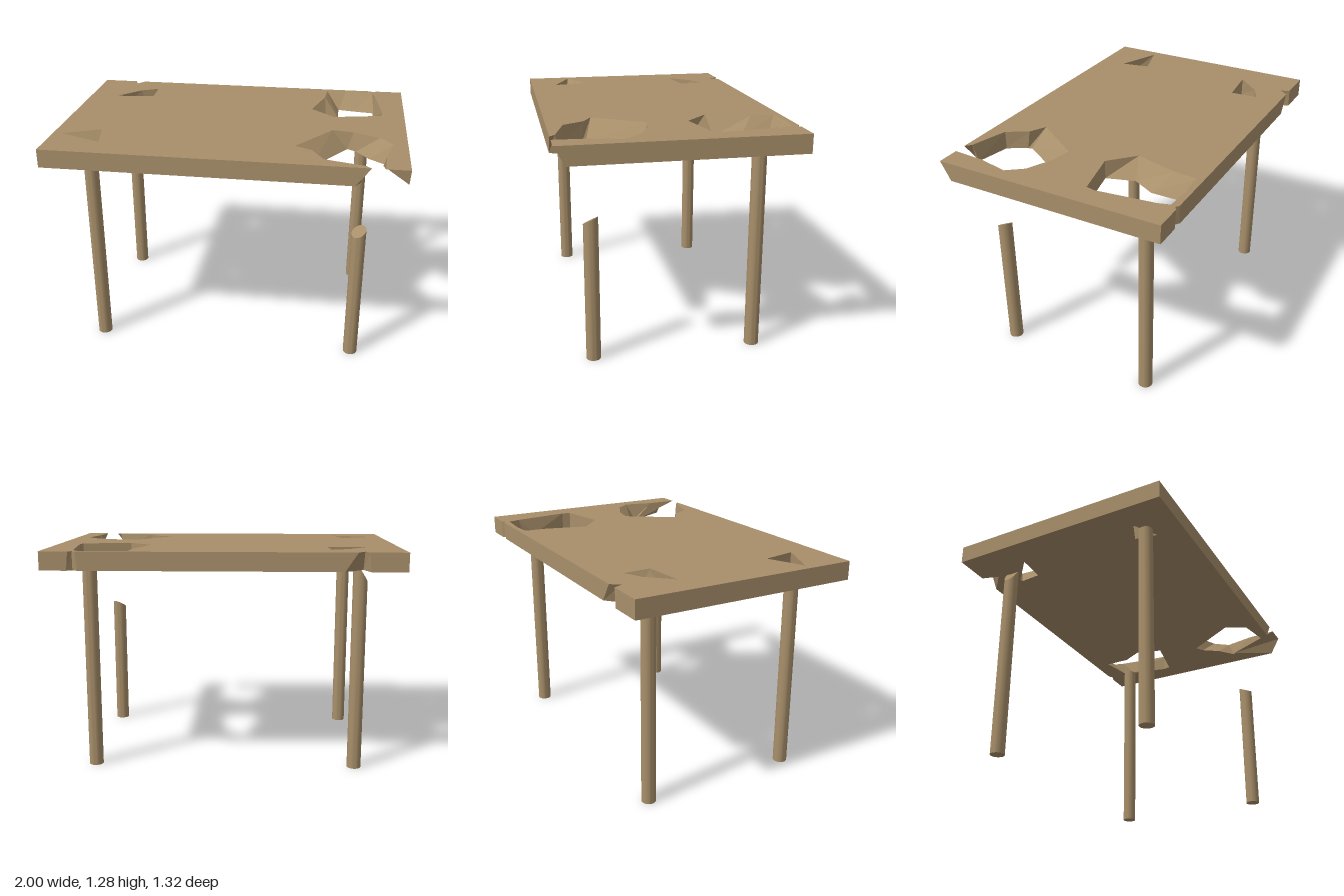
import * as THREE from 'three';
import { toCreasedNormals } from 'three/addons/utils/BufferGeometryUtils.js';

const wood = new THREE.MeshStandardMaterial({ color: 0xa88f6a });
const TOP = 1.285, UNDER = 1.18;

// Each point is [x, z] on the upper face and [x, z] on the underside, so broken walls can lean.
const outline = [
  [-1, -0.66, -1, -0.66],
  [-0.79, -0.66, -0.8, -0.66], [-0.77, -0.61, -0.77, -0.56], [-0.73, -0.66, -0.66, -0.66], // chip at the back
  [0.8, -0.66, 0.79, -0.66], [0.82, -0.645, 0.82, -0.64], [0.84, -0.66, 0.85, -0.66],
  [1, -0.66, 1, -0.66],
  [1, 0.66, 1, 0.6], [0.87, 0.66, 0.87, 0.36], // undercut front corner
  [0.88, 0.48, 0.875, 0.355], [0.92, 0.3, 0.89, 0.35], [0.85, 0.21, 0.79, 0.27],
  [0.7, 0.14, 0.72, 0.17], [0.58, 0.12, 0.67, 0.14],
  [0.385, 0.4, 0.48, 0.44], [0.48, 0.45, 0.49, 0.46], [0.55, 0.57, 0.55, 0.57],
  [0.77, 0.63, 0.75, 0.61], [0.8, 0.66, 0.72, 0.66],
  [-1, 0.66, -1, 0.66],
];
const holes = [
  // large hole, back
  [[0.52, -0.62, 0.6, -0.56], [0.64, -0.63, 0.7, -0.54], [0.81, -0.62, 0.83, -0.52],
    [0.83, -0.55, 0.82, -0.45], [0.87, -0.22, 0.87, -0.22], [0.86, -0.17, 0.86, -0.17],
    [0.58, -0.11, 0.58, -0.11], [0.44, -0.24, 0.53, -0.27], [0.51, -0.49, 0.6, -0.4]],
  // small triangular hole, front
  [[-0.95, 0.395, -0.84, 0.42], [-0.74, 0.3, -0.725, 0.37], [-0.7, 0.5, -0.7, 0.5]],
  // small hole, back
  [[-0.83, -0.325, -0.83, -0.325], [-0.7, -0.46, -0.68, -0.46],
    [-0.6, -0.51, -0.66, -0.46], [-0.59, -0.35, -0.67, -0.335]],
];

function slabGeometry(outer, inner) {
  const flat = (loop, k) => loop.map((p) => new THREE.Vector2(p[k], p[k + 1]));
  const oriented = (loop, clockwise) =>
    THREE.ShapeUtils.isClockWise(flat(loop, 0)) === clockwise ? loop : [...loop].reverse();
  const loops = [oriented(outer, false), ...inner.map((h) => oriented(h, true))];
  const pos = [];
  const put = (...pts) => pts.forEach((p) => pos.push(...p));
  const up = (p) => [p[0], TOP, p[1]];
  const down = (p) => [p[2], UNDER, p[3]];

  // upper face and underside
  for (const [k, at, sign] of [[0, up, 1], [2, down, -1]]) {
    const [contour, ...cuts] = loops.map((l) => flat(l, k));
    const all = loops.flat();
    for (const tri of THREE.ShapeUtils.triangulateShape(contour, cuts)) {
      const [a, b, c] = tri.map((i) => all[i]);
      const area = (b[k] - a[k]) * (c[k + 1] - a[k + 1]) - (b[k + 1] - a[k + 1]) * (c[k] - a[k]);
      if (area * sign < 0) put(at(a), at(b), at(c));
      else put(at(a), at(c), at(b));
    }
  }
  // rim and broken walls
  for (const loop of loops) {
    loop.forEach((a, i) => {
      const b = loop[(i + 1) % loop.length];
      put(up(a), up(b), down(b), up(a), down(b), down(a));
    });
  }
  const g = new THREE.BufferGeometry();
  g.setAttribute('position', new THREE.Float32BufferAttribute(pos, 3));
  g.computeVertexNormals();
  return g;
}

// Round leg whose upper end follows the rule topAt(dx, dz)
function legGeometry(topAt) {
  const g = new THREE.CylinderGeometry(0.041, 0.041, 1, 32);
  g.translate(0, 0.5, 0);
  const p = g.attributes.position;
  for (let i = 0; i < p.count; i++) {
    if (p.getY(i) > 0.5) p.setY(i, topAt(p.getX(i), p.getZ(i)));
  }
  return toCreasedNormals(g, 0.5);
}

export function createModel() {
  const model = new THREE.Group();
  model.name = 'brokenTable';
  const add = (name, geometry, x = 0, z = 0) => {
    const mesh = new THREE.Mesh(geometry, wood);
    mesh.name = name;
    mesh.position.set(x, 0, z);
    model.add(mesh);
  };
  add('tableTop', slabGeometry(outline, holes));

  // whole, snapped and chipped legs
  add('frontRightLeg', legGeometry(() => UNDER), -0.768, 0.46);
  add('frontLeftLeg', legGeometry((x, z) => 0.815 + 0.35 * x - 0.45 * z), 0.765, 0.46);
  add('backLeftLeg', legGeometry((x, z) => 1.155 - 0.12 * z), 0.765, -0.46);
  add('backRightLeg', legGeometry((x, z) => Math.min(UNDER, 1.17 + 1.6 * x)), -0.768, -0.46);
  return model;
}
